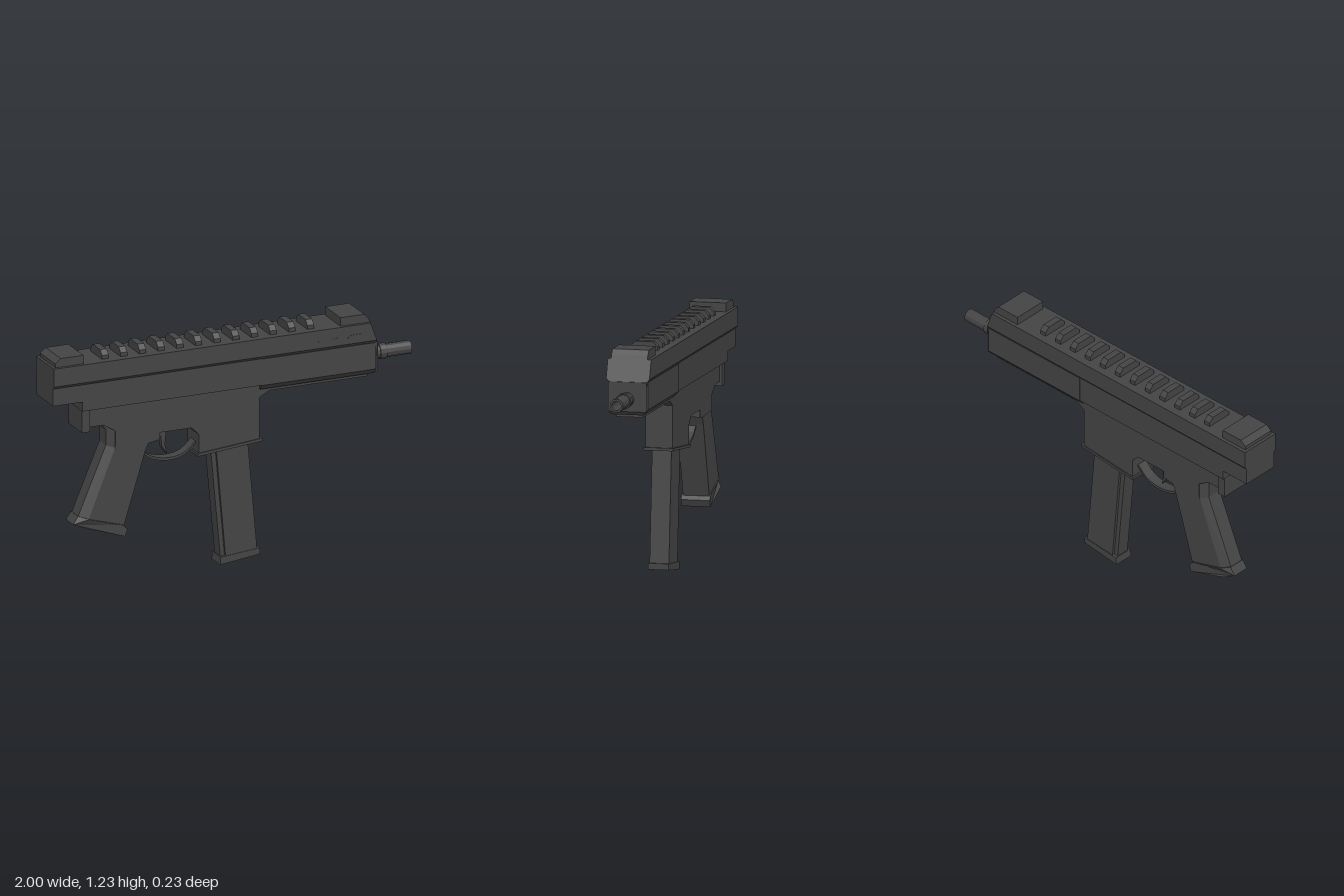
import * as THREE from 'three';

export function createModel() {
  const root = new THREE.Group();
  root.name = 'compactToyBlaster';
  const gunmetal = new THREE.MeshStandardMaterial({ color: 0x444444, flatShading: true });
  gunmetal.name = 'darkGrey';

  function add(name, geometry, parent = root) {
    const mesh = new THREE.Mesh(geometry, gunmetal);
    mesh.name = name;
    parent.add(mesh);
    return mesh;
  }

  // Side profile with thickness; a point's third number is its own half width
  function plate(name, pts, half, parent) {
    const shape = new THREE.Shape(pts.map(p => new THREE.Vector2(p[0], p[1])));
    const geo = new THREE.ExtrudeGeometry(shape, { depth: 2, bevelEnabled: false });
    geo.translate(0, 0, -1);
    const pos = geo.attributes.position;
    for (let i = 0; i < pos.count; i++) {
      const p = pts.find(q => Math.hypot(q[0] - pos.getX(i), q[1] - pos.getY(i)) < 1e-4);
      pos.setZ(i, pos.getZ(i) * (p[2] ?? half));
    }
    geo.computeVertexNormals();
    return add(name, geo, parent);
  }

  // Half cross-section [z, y], mirrored and swept along x, with a sloped front
  function bar(name, half, x0, x1, slope = 0, parent = root) {
    const pts = [...half, ...half.map(([z, y]) => [-z, y]).reverse()];
    const shape = new THREE.Shape(pts.map(p => new THREE.Vector2(...p)));
    const geo = new THREE.ExtrudeGeometry(shape, { depth: x1 - x0, bevelEnabled: false });
    geo.rotateY(Math.PI / 2).translate(x0, 0, 0);
    const pos = geo.attributes.position, base = half[0][1];
    for (let i = 0; i < pos.count; i++) {
      if (pos.getX(i) > (x0 + x1) / 2) pos.setX(i, pos.getX(i) - slope * (pos.getY(i) - base));
    }
    geo.computeVertexNormals();
    return add(name, geo, parent);
  }

  // Upper body
  bar('upperReceiver', [[0.1, 1.08], [0.112, 1.095], [0.112, 1.19]], -1, 0.778, 0.36);
  plate('middleReceiver', [[-1, 0.99], [-0.84, 0.99], [-0.84, 0.94], [0.15, 0.94],
    [0.15, 1.085], [-1, 1.085]], 0.101);

  // Handguard
  bar('handguard', [[0.08, 0.912], [0.104, 0.94], [0.104, 1.08]], 0.145, 0.77);
  plate('handguardNose', [[0.77, 0.912, 0.08], [0.784, 0.93], [0.784, 1.08], [0.77, 1.08]], 0.1);
  plate('handguardUnderside', [[0.145, 0.865], [0.2, 0.896], [0.74, 0.896], [0.74, 0.915],
    [0.145, 0.915]], 0.07);

  // Sights and rail
  plate('rearSight', [[-0.985, 1.19], [-0.83, 1.19], [-0.83, 1.235], [-0.955, 1.235], [-0.985, 1.21]], 0.094);
  plate('frontSight', [[0.58, 1.19], [0.742, 1.19], [0.735, 1.21], [0.712, 1.235], [0.58, 1.235]], 0.094);
  const rail = new THREE.Group();
  rail.name = 'topRail';
  root.add(rail);
  for (let i = 0; i < 12; i++) {
    const x = -0.7 + i * 0.1025;
    bar('railTooth', [[0.07, 1.185], [0.07, 1.21], [0.046, 1.234]], x - 0.018, x + 0.018, 0, rail);
  }

  // Small tapered slits on the left side
  for (const [x, w, h] of [[0.435, 0.02, 0.005], [0.525, 0.04, 0.009], [0.61, 0.075, 0.015]]) {
    plate('sideSlit', [[x, 1.127], [x + w * 0.85, 1.127], [x + w, 1.127 + h], [x + w * 0.3, 1.127 + h]], 0.002)
      .position.z = 0.112;
  }

  // Hollow barrel with collar
  const tube = (name, r, x0, x1) => {
    const pts = [[0.024, x0], [r, x0], [r, x1], [0.024, x1], [0.024, x0]];
    const geo = new THREE.LatheGeometry(pts.map(p => new THREE.Vector2(...p)), 12);
    geo.rotateZ(-Math.PI / 2).translate(0, 0.993, 0);
    add(name, geo);
  };
  tube('barrel', 0.035, 0.76, 1);
  tube('barrelCollar', 0.041, 0.828, 0.865);

  // Lower body and rear bracket
  plate('lowerReceiver', [[-0.79, 0.945], [-0.79, 0.84], [-0.71, 0.84], [-0.645, 0.8], [-0.645, 0.72],
    [-0.46, 0.71], [-0.4, 0.72], [-0.4, 0.757], [-0.226, 0.757], [-0.187, 0.717], [-0.187, 0.61],
    [0.145, 0.64], [0.145, 0.945]], 0.07);
  plate('rearBracket', [[-0.834, 0.82], [-0.79, 0.82], [-0.79, 0.945], [-0.834, 0.945]], 0.085);
  plate('magazineWellLip', [[-0.195, 0.602], [0.162, 0.635], [0.162, 0.65], [-0.195, 0.617]], 0.076);

  // Grip with tapered back
  plate('grip', [[-0.795, 0.34], [-0.6, 0.28], [-0.48, 0.67], [-0.46, 0.715], [-0.48, 0.8],
    [-0.645, 0.8], [-0.645, 0.71]], 0.068);
  plate('gripBackLower', [[-0.84, 0.355, 0.04], [-0.795, 0.34], [-0.645, 0.71], [-0.684, 0.72, 0.04]], 0.068);
  plate('gripBackUpper', [[-0.684, 0.72, 0.04], [-0.645, 0.71], [-0.645, 0.84], [-0.712, 0.842, 0.04],
    [-0.684, 0.8, 0.04]], 0.068);
  plate('gripBase', [[-0.866, 0.326, 0.045], [-0.81, 0.307], [-0.594, 0.235], [-0.58, 0.27],
    [-0.604, 0.297], [-0.79, 0.352], [-0.838, 0.366, 0.045]], 0.075);

  // Trigger and guard
  plate('trigger', [[-0.395, 0.765], [-0.395, 0.735], [-0.37, 0.715], [-0.365, 0.66], [-0.338, 0.618],
    [-0.348, 0.67], [-0.342, 0.73], [-0.335, 0.765]], 0.015);
  const curve = new THREE.CatmullRomCurve3([[-0.49, 0.665], [-0.43, 0.617], [-0.34, 0.595], [-0.25, 0.61],
    [-0.18, 0.67]].map(p => new THREE.Vector3(p[0], p[1], 0)));
  const line = curve.getPoints(12);
  plate('triggerGuard', [...line.map(p => [p.x, p.y - 0.007]),
    ...line.slice().reverse().map(p => [p.x, p.y + 0.007])], 0.028);

  // Magazine with narrow rear rib
  plate('magazine', [[-0.03, 0.035], [0.142, 0.055], [0.09, 0.645], [-0.083, 0.63]], 0.05);
  plate('magazineRib', [[-0.053, 0.035], [-0.03, 0.035], [-0.083, 0.63], [-0.108, 0.63]], 0.036);
  plate('magazineBase', [[-0.062, 0.002], [0.158, 0.03], [0.158, 0.062], [-0.03, 0.045], [-0.058, 0.042]], 0.053);

  // Rest on the ground
  root.position.y = -0.002;
  return root;
}
